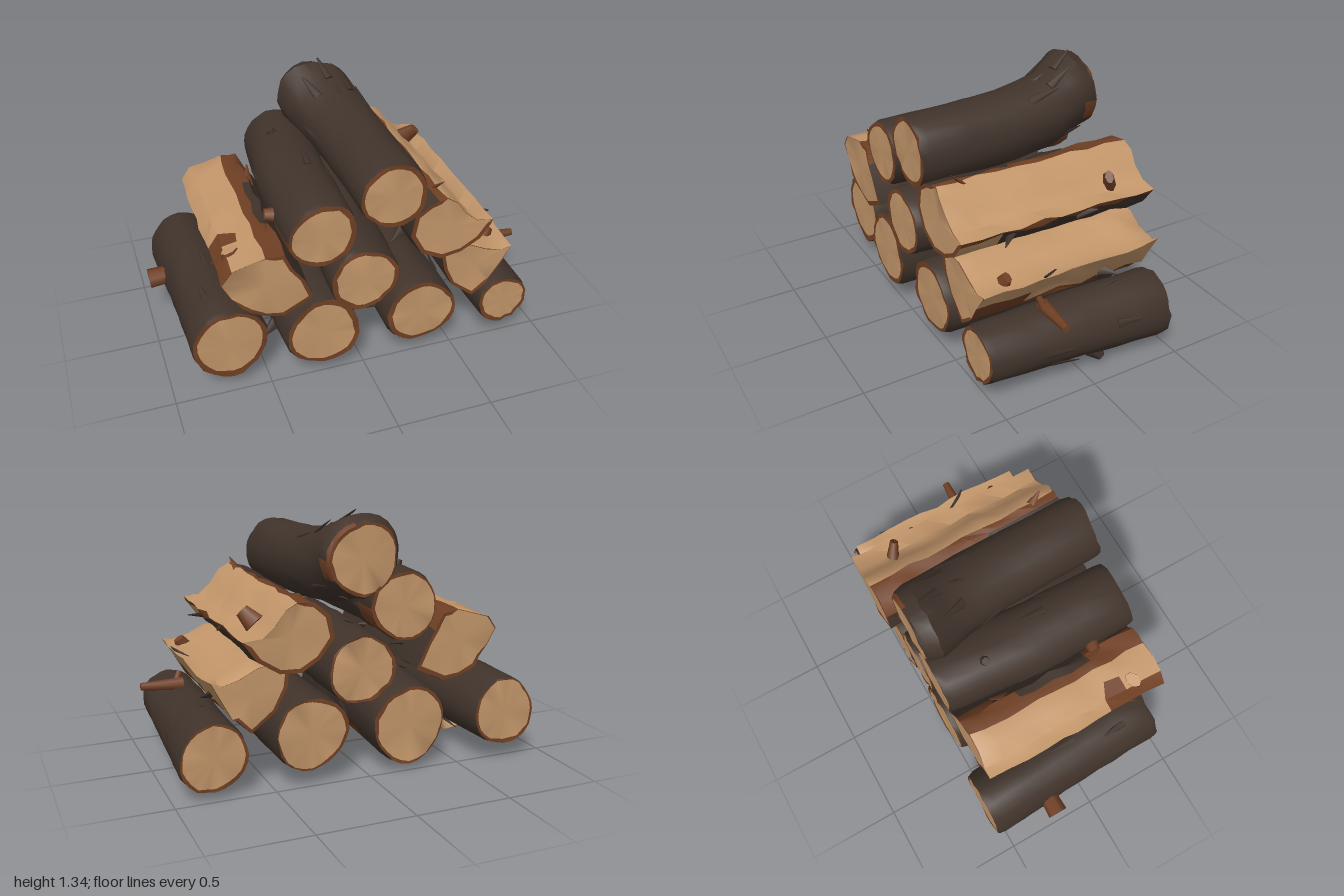
import * as THREE from 'three';
import { toCreasedNormals } from 'three/addons/utils/BufferGeometryUtils.js';

const mat = (name, color) => Object.assign(new THREE.MeshStandardMaterial({ color }), { name });

export function createModel() {
  const pile = new THREE.Group();
  pile.name = 'logPile';
  const bark = mat('darkBark', 0x40332b);
  const inner = mat('innerBark', 0x704024);
  const wood = mat('cutWood', 0xc3966a);
  const mats = [bark, inner, wood];
  const B = 0, I = 1, W = 2;

  let seed = 7;
  const rnd = () => (seed = (seed * 16807) % 2147483647) / 2147483647;
  const jit = (a) => (rnd() - 0.5) * 2 * a;

  // Lofts closed rings from front to back; kind(i, k) picks the material of each side cell
  function loft(name, rings, kind, inset) {
    const tris = [[], [], []];
    const tri = (m, a, b, c) => tris[m].push(...a, ...b, ...c);
    const n = rings[0].length, last = rings.length - 1;
    for (let k = 0; k < last; k++) {
      for (let i = 0; i < n; i++) {
        const j = (i + 1) % n;
        const a = rings[k][i], b = rings[k][j], c = rings[k + 1][j], d = rings[k + 1][i];
        tri(kind(i, k), a, d, b);
        tri(kind(i, k), b, d, c);
      }
    }
    // End grain with an irregular inner-bark rim
    for (const k of [0, last]) {
      const ring = rings[k], front = k === 0;
      const mid = [0, 1, 2].map((q) => ring.reduce((s, p) => s + p[q], 0) / n);
      const rim = ring.map((p, i) => {
        const f = inset(i, front);
        return [mid[0] + (p[0] - mid[0]) * f, mid[1] + (p[1] - mid[1]) * f, mid[2] + (p[2] - mid[2]) * 0.3];
      });
      const face = (m, a, b, c) => (front ? tri(m, a, b, c) : tri(m, a, c, b));
      for (let i = 0; i < n; i++) {
        const j = (i + 1) % n;
        face(I, rim[i], ring[i], ring[j]);
        face(I, rim[i], ring[j], rim[j]);
        face(W, mid, rim[i], rim[j]);
      }
    }
    const geo = new THREE.BufferGeometry();
    geo.setAttribute('position', new THREE.Float32BufferAttribute(tris.flat(), 3));
    let start = 0;
    tris.forEach((t, m) => { geo.addGroup(start, t.length / 3, m); start += t.length / 3; });
    const mesh = new THREE.Mesh(toCreasedNormals(geo, 0.7), mats);
    mesh.name = name;
    pile.add(mesh);
  }

  // Tapered branch stub or bark sliver between two points
  function spike(name, from, to, r0, r1, material, flat = 1, normal = [0.3, 0.5, 0.8]) {
    const a = new THREE.Vector3(...from), b = new THREE.Vector3(...to);
    const dir = b.clone().sub(a), len = dir.length();
    dir.normalize();
    const mesh = new THREE.Mesh(new THREE.CylinderGeometry(r1, r0, len, 7), material);
    const side = new THREE.Vector3().crossVectors(dir, new THREE.Vector3(...normal)).normalize();
    const out = new THREE.Vector3().crossVectors(side, dir);
    mesh.quaternion.setFromRotationMatrix(new THREE.Matrix4().makeBasis(side, dir, out));
    mesh.position.copy(a.add(b).multiplyScalar(0.5));
    mesh.scale.z = flat;
    mesh.name = name;
    pile.add(mesh);
  }

  // Round log through stations [x, y, z, radius], front to back; bark bulges behind each cut end
  const N = 24, SEG = 10;
  function roundLog(name, stations, { kind = () => B, slivers = 6 } = {}) {
    const p1 = rnd() * 6, p2 = rnd() * 6;
    const at = (t) => {
      const u = t * (stations.length - 1), s = Math.min(Math.floor(u), stations.length - 2);
      return stations[s].map((v, q) => THREE.MathUtils.lerp(v, stations[s + 1][q], u - s));
    };
    const rings = [];
    for (let k = 0; k <= SEG; k++) {
      const end = k === 0 || k === SEG;
      const [x, y, z, r] = at(k === 1 ? 0.03 : k === SEG - 1 ? 0.96 : k / SEG);
      rings.push(Array.from({ length: N }, (_, i) => {
        const a = (i / N) * Math.PI * 2;
        const f = (end ? 0.99 : 1.03) + 0.03 * Math.sin(3 * a + p1 + k * 0.3)
          + 0.025 * Math.sin(2 * a + p2) + jit(0.02);
        return [x + Math.cos(a) * r * f, y + Math.sin(a) * r * f, z + jit(0.008)];
      }));
    }
    // Rim is thicker on one side
    const insets = Array.from({ length: N }, (_, i) => 0.03 * Math.sin((i / N) * Math.PI * 2 + p1) + jit(0.025));
    loft(name, rings, kind, (i, front) => (front ? 0.865 : 0.92) + insets[i]);
    // Loose bark strips lifting at one end
    for (let s = 0; s < slivers; s++) {
      const a = rnd() * Math.PI * 2, t = 0.15 + rnd() * 0.6, c = Math.cos(a), d = Math.sin(a);
      const p = at(t), q = at(t + 0.14), h = q[3] * 1.05 + 0.01;
      spike('barkStrip', [p[0] + c * p[3], p[1] + d * p[3], p[2]],
        [q[0] + c * h, q[1] + d * h, q[2]], 0.026, 0.006, bark, 0.35, [c, d, 0]);
    }
  }

  // Split log: outline of [x, y, edge material] counter-clockwise from the front
  function splitLog(name, outline, z0, z1, shift, patch = () => null) {
    const rings = [];
    for (let k = 0; k <= SEG; k++) {
      const t = k / SEG, w = k === 0 ? 0 : 0.01;
      rings.push(outline.map(([x, y]) => [
        x + shift[0] * t + jit(w), y + shift[1] * t + jit(w),
        z0 + (z1 - z0) * t + (t % 1 ? jit(0.02) : jit(0.008)),
      ]));
    }
    const n = outline.length;
    const inset = (i) => (outline[i][2] === W || outline[(i + n - 1) % n][2] === W ? 0.98 : 0.89);
    loft(name, rings, (i, k) => patch(i, k) ?? outline[i][2], inset);
  }

  // Bottom row; the second log has a band of missing bark underneath
  roundLog('bottomLogRight', [[-0.695, 0.28, 0.47, 0.195], [-0.72, 0.275, 0, 0.185], [-0.75, 0.265, -0.55, 0.178]]);
  roundLog('bottomLogInnerRight', [[-0.225, 0.285, 0.53, 0.195], [-0.24, 0.275, 0, 0.205], [-0.22, 0.25, -0.5, 0.2]], {
    kind: (i, k) => (k !== 6 || i < 15 || i > 21 ? B : i > 16 && i < 20 ? W : I),
  });
  roundLog('bottomLogInnerLeft', [[0.305, 0.285, 0.53, 0.187], [0.31, 0.28, 0, 0.187], [0.31, 0.275, -0.5, 0.187]]);
  roundLog('bottomLogLeft', [[0.78, 0.24, 0.53, 0.14], [0.79, 0.23, 0, 0.155], [0.8, 0.215, -0.48, 0.17]]);

  // Middle row
  splitLog('middleSplitLogRight', [
    [-0.52, 0.47, B], [-0.43, 0.455, B], [-0.28, 0.53, B], [-0.325, 0.65, B], [-0.385, 0.73, I], [-0.42, 0.81, B],
    [-0.465, 0.815, I], [-0.515, 0.815, W], [-0.60, 0.805, W], [-0.68, 0.78, W], [-0.735, 0.71, W],
    [-0.69, 0.62, I], [-0.64, 0.555, I], [-0.60, 0.52, B],
  ], 0.54, -0.48, [0.01, 0], (i, k) => {
    if ((i === 9 && k < 3) || (i === 8 && k === 2)) return I;
    if (i === 5 && (k < 3 || k > 6)) return I;
    return i === 4 && k > 2 && k < 8 ? B : null;
  });
  roundLog('middleLog', [[-0.01, 0.56, 0.53, 0.175], [0.02, 0.57, 0, 0.18], [0.045, 0.57, -0.5, 0.175]]);
  splitLog('middleSplitLogLeft', [
    [0.60, 0.305, B], [0.68, 0.37, I], [0.695, 0.39, W], [0.75, 0.48, W], [0.81, 0.57, W], [0.75, 0.56, W],
    [0.66, 0.585, W], [0.57, 0.63, W], [0.45, 0.635, I], [0.41, 0.61, B], [0.43, 0.51, B], [0.48, 0.40, B],
  ], 0.51, -0.48, [0.01, 0.01], (i, k) => (i === 2 && k < 3 ? I : null));

  // Third row; the round log has inner bark showing at two places
  roundLog('upperLogRight', [[-0.225, 0.87, 0.53, 0.17], [-0.225, 0.875, 0, 0.175], [-0.18, 0.87, -0.5, 0.175]], {
    kind: (i, k) => ((k < 2 && i > 11 && i < 16) || (k > 7 && i > 19) ? I : B),
  });
  splitLog('upperSplitLogLeft', [
    [0.39, 0.615, B], [0.50, 0.63, B], [0.60, 0.69, B], [0.655, 0.765, I], [0.665, 0.79, W], [0.58, 0.80, W],
    [0.51, 0.86, W], [0.46, 0.93, W], [0.405, 0.965, I], [0.365, 0.955, B], [0.31, 0.94, B], [0.24, 0.89, B],
    [0.22, 0.78, B], [0.28, 0.67, B],
  ], 0.54, -0.55, [0, -0.01], (i, k) => {
    if (k < 2 && i === 2) return W;
    return (k < 2 && i === 1) || (i === 0 && k > 5) || (i === 9 && k > 3) || (i === 10 && k > 5) ? I : null;
  });

  // Top log, flaring upward at the back
  roundLog('topLog', [
    [0.13, 1.03, 0.54, 0.172], [0.125, 1.035, 0.28, 0.172], [0.115, 1.04, 0, 0.177],
    [0.085, 1.065, -0.25, 0.187], [0.035, 1.125, -0.42, 0.203], [0.04, 1.115, -0.5, 0.18],
  ], { kind: (i, k) => ((k === 9 && (i < 5 || i > 21)) || (k === 8 && i > 21) ? I : B), slivers: 9 });

  // Branch stubs and knots
  const cut = [inner, wood, wood];
  spike('sideStub', [-0.87, 0.28, -0.22], [-0.99, 0.27, -0.22], 0.05, 0.055, inner);
  spike('lowerStub', [-0.71, 0.12, -0.02], [-0.735, 0.03, -0.05], 0.05, 0.065, [wood, wood, inner]);
  spike('thinBranch', [0.78, 0.4, 0.17], [1.0, 0.405, 0.18], 0.035, 0.02, inner);
  spike('branchSpur', [0.82, 0.38, 0.17], [0.79, 0.46, 0.2], 0.025, 0.015, inner);
  spike('faceKnot', [0.55, 0.82, -0.36], [0.6, 0.88, -0.32], 0.055, 0.035, inner, 0.6);
  spike('faceKnot', [0.72, 0.55, 0.36], [0.75, 0.6, 0.35], 0.045, 0.03, inner, 0.7);
  spike('faceKnot', [-0.64, 0.73, 0.4], [-0.655, 0.8, 0.39], 0.06, 0.045, cut, 0.7);
  spike('upperStub', [-0.36, 0.88, 0.29], [-0.45, 0.89, 0.28], 0.045, 0.03, inner);
  spike('upperStub', [-0.25, 1.02, -0.25], [-0.27, 1.06, -0.25], 0.03, 0.02, bark);
  spike('lowKnot', [0.86, 0.1, -0.08], [0.9, 0.06, -0.11], 0.05, 0.02, bark);
  spike('lowKnot', [0.14, 0.27, 0.35], [0.06, 0.26, 0.36], 0.04, 0.02, bark);

  // Torn splinters and bark flaps along the edges: start, tip, material
  const splinters = [
    [[0.62, 0.74, 0.25], [0.7, 0.73, 0.33], bark], [[0.64, 0.76, -0.1], [0.68, 0.77, -0.2], bark],
    [[0.39, 0.93, 0.38], [0.42, 1.01, 0.46], inner], [[0.76, 0.54, 0.1], [0.83, 0.6, 0.2], bark],
    [[0.72, 0.45, -0.2], [0.8, 0.45, -0.25], bark], [[-0.36, 0.6, 0.2], [-0.23, 0.61, 0.26], bark],
    [[-0.36, 0.62, -0.3], [-0.24, 0.61, -0.22], bark], [[-0.69, 0.67, 0.3], [-0.74, 0.72, 0.36], inner],
    [[-0.41, 0.77, -0.2], [-0.39, 0.84, -0.3], inner], [[0.1, 1.2, -0.1], [0.1, 1.265, -0.24], bark],
    [[-0.42, 0.22, 0.3], [-0.51, 0.19, 0.36], bark], [[0.28, 0.66, 0.3], [0.19, 0.63, 0.36], bark],
  ];
  splinters.forEach(([a, b, m]) => spike('splinter', a, b, 0.035, 0.004, m, 0.35));

  return pile;
}
